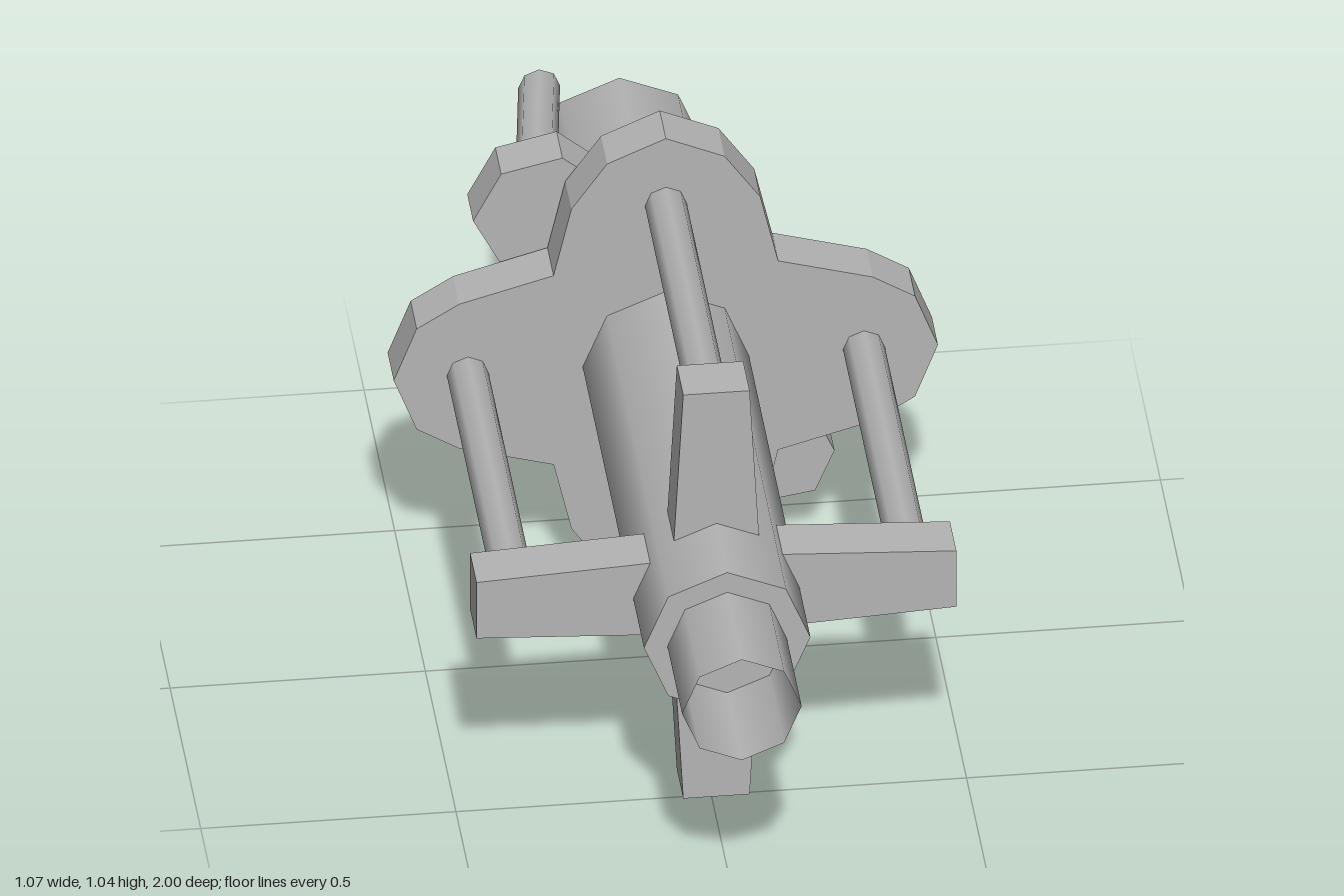
import * as THREE from 'three';

const CY = 0.525; // height of the long axis

export function createModel() {
  const model = new THREE.Group();
  const grey = new THREE.MeshStandardMaterial({ color: 0xb4b4b4, side: THREE.DoubleSide });
  grey.name = 'grey metal';

  const add = (name, geometry) => {
    const mesh = new THREE.Mesh(geometry, grey);
    mesh.name = name;
    mesh.position.y = CY;
    model.add(mesh);
    return mesh;
  };

  // Eight-sided cylinder along z between two points; ends stay square to z
  const rod = (name, r, a, b, open = false) => {
    const g = new THREE.CylinderGeometry(r, r, 1, 8, 1, open);
    g.rotateX(Math.PI / 2);
    const p = g.attributes.position;
    for (let i = 0; i < p.count; i++) {
      const t = p.getZ(i) + 0.5;
      p.setXYZ(i,
        p.getX(i) + a[0] + (b[0] - a[0]) * t,
        p.getY(i) + a[1] + (b[1] - a[1]) * t,
        a[2] + (b[2] - a[2]) * t);
    }
    return add(name, g);
  };

  // Flat plate extruded from z0 to z1
  const plate = (name, points, z0, z1) => {
    const shape = new THREE.Shape(points.map(([x, y]) => new THREE.Vector2(x, y)));
    const g = new THREE.ExtrudeGeometry(shape, { depth: z1 - z0, bevelEnabled: false });
    g.translate(0, 0, z0);
    return add(name, g);
  };

  // Open tubes with a closed step between them
  rod('mainTube', 0.163, [0, 0.003, -1], [0, 0.003, 0.76], true);
  rod('frontTube', 0.117, [0, 0.003, 0.76], [0, 0.003, 1], true);
  const step = new THREE.CircleGeometry(0.163, 8);
  step.translate(0, 0.003, 0.76);
  add('tubeStep', step);

  // Four tapered arms and the rods behind them
  for (let i = 0; i < 4; i++) {
    const arm = plate('arm', [[-0.085, 0.1], [0.085, 0.1], [0.065, 0.47], [-0.065, 0.47]], 0.48, 0.585);
    arm.rotation.z = i * Math.PI / 2;
    const x = Math.round(Math.sin(i * Math.PI / 2)), y = Math.round(Math.cos(i * Math.PI / 2));
    rod('armRod', 0.041, [x * 0.388, y * 0.365 + 0.003, -0.245], [x * 0.388, y * 0.365 + 0.003, 0.485]);
  }

  // Four-lobed plate, one quadrant mirrored round
  const quad = [[0, 0.522], [0.115, 0.472], [0.185, 0.372], [0.22, 0.22], [0.405, 0.168], [0.488, 0.117], [0.533, 0]];
  const flip = (sx, sy) => quad.map(([x, y]) => [x * sx, y * sy]);
  plate('lobedPlate', [
    ...flip(1, 1).slice(0, -1),
    ...flip(1, -1).reverse().slice(0, -1),
    ...flip(-1, -1).slice(0, -1),
    ...flip(-1, 1).reverse().slice(0, -1),
  ], -0.34, -0.24);

  // Slanted two-lobed plate
  plate('backPlate', [
    [-0.365, 0.29], [-0.31, 0.395], [-0.19, 0.423], [-0.12, 0.365], [0, 0.24], [0.12, 0.22], [0.22, 0.15],
    [0.26, 0.04], [0.25, -0.08], [0.3, -0.205], [0.343, -0.3], [0.305, -0.39], [0.2, -0.407], [0.13, -0.355],
    [0, -0.24], [-0.12, -0.22], [-0.22, -0.15], [-0.26, -0.04], [-0.25, 0.08], [-0.31, 0.185],
  ], -0.44, -0.345);

  // Struts leaning in to the back end of the tube
  rod('backStrut', 0.041, [-0.157, 0.157, -1], [-0.23, 0.305, -0.44]);
  rod('backStrut', 0.041, [0.135, -0.128, -1], [0.243, -0.32, -0.44]);

  return model;
}
